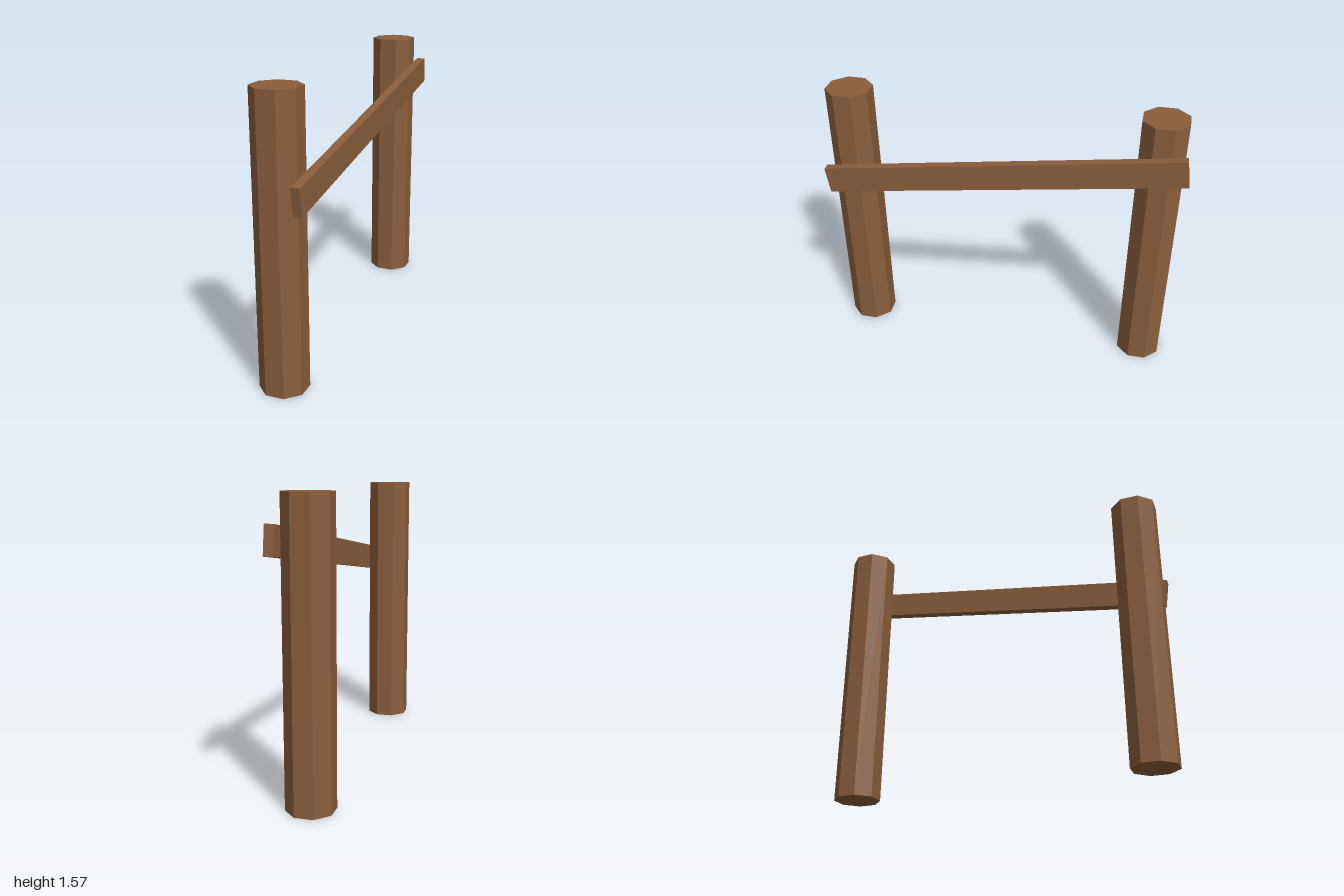
import * as THREE from 'three';

export function createModel() {
  const model = new THREE.Group();
  model.name = 'postAndRail';
  const wood = new THREE.MeshStandardMaterial({ color: 0x8b5e3c, flatShading: true });

  // Two octagonal posts, flat sides facing along the axes
  const height = 1.57;
  const apothem = 0.121;
  const radius = apothem / Math.cos(Math.PI / 8);
  const postGeometry = new THREE.CylinderGeometry(radius, radius, height, 8);
  postGeometry.rotateY(Math.PI / 8);
  for (const [name, z] of [['frontPost', 0.867], ['backPost', -0.846]]) {
    const post = new THREE.Mesh(postGeometry, wood);
    post.name = name;
    post.position.set(-0.026, height / 2, z);
    model.add(post);
  }

  // Sloping rail fixed to the left faces of the posts, rising to the back
  const rail = new THREE.Mesh(new THREE.BoxGeometry(0.048, 0.15, 2), wood);
  rail.name = 'rail';
  rail.position.set(0.119, 1.203, 0);
  rail.rotation.x = 0.148;
  model.add(rail);

  return model;
}
